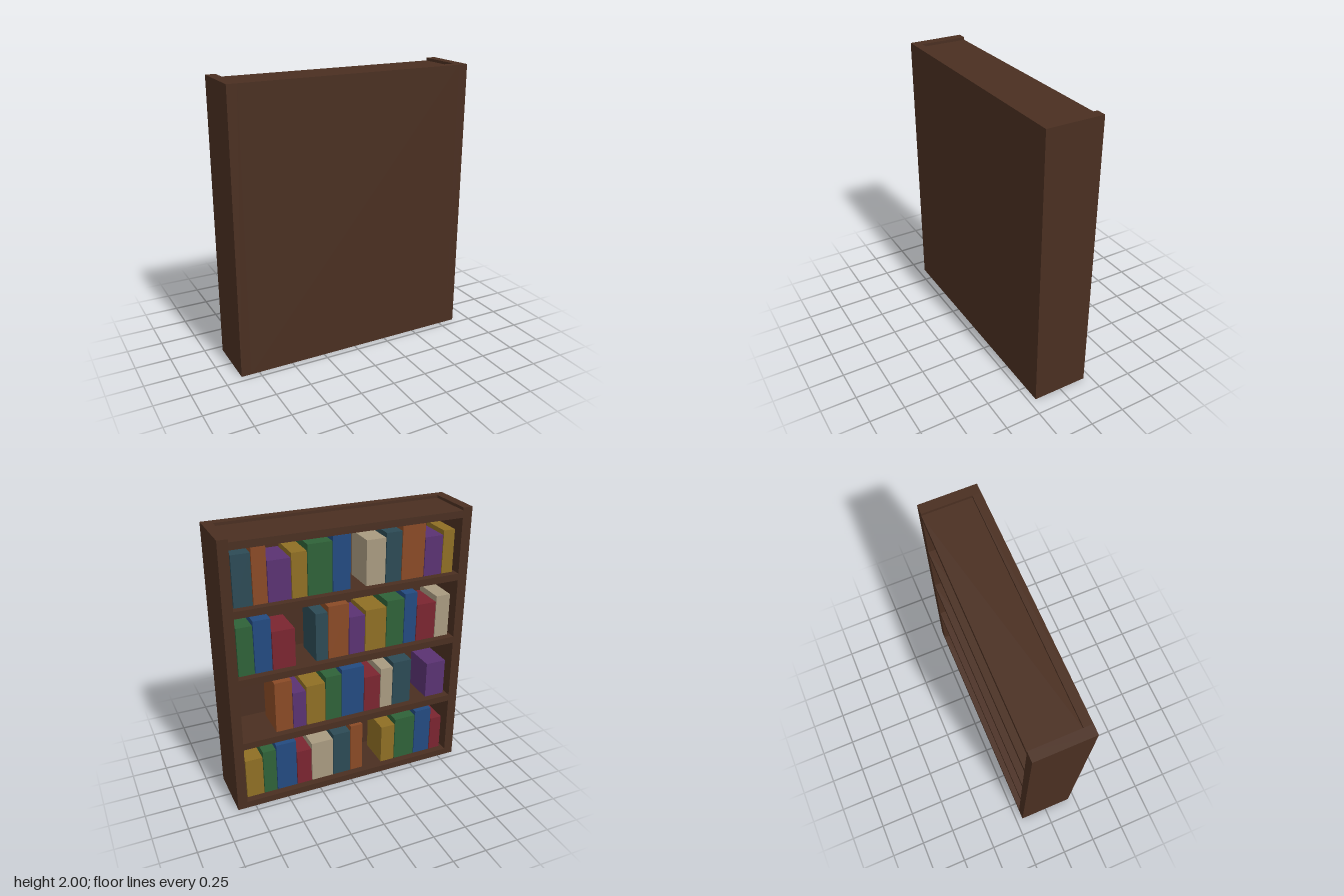
import * as THREE from 'three';

const WIDTH = 1.76, HEIGHT = 2, DEPTH = 0.4;
const SIDE = 0.07, PANEL = 0.06, BOARD = 0.05;
const SHELF_TOPS = [1.53, 1.04, 0.545, 0.05];

// Repeating book types: colour and height
const BOOKS = [
  ['teal', 0x2c4a55, 0.35], ['orange', 0x8a4a26, 0.388],
  ['purple', 0x5a3272, 0.28], ['yellow', 0x8f6f24, 0.31],
  ['green', 0x2f6238, 0.35], ['blue', 0x234a80, 0.38],
  ['red', 0x7a2530, 0.28], ['cream', 0xa89a80, 0.32],
];

// Widths along each shelf, top to bottom; a negative width is a missing book
const ROWS = [
  [0.13, 0.1, 0.16, 0.11, 0.175, 0.13, -0.11, 0.145, 0.12, 0.175, 0.14, 0.09],
  [0.115, 0.124, 0.165, -0.143, 0.092, 0.154, 0.122, 0.163, 0.139, 0.1, 0.154, 0.114],
  [-0.239, 0.13, 0.1, 0.146, 0.124, 0.176, 0.13, 0.1, 0.15, -0.13, 0.16],
  [0.131, 0.1, 0.154, 0.115, 0.17, 0.139, 0.1, -0.155, 0.115, 0.17, 0.139, 0.097],
];
// Book type that begins each row
const ROW_START = [0, 4, 0, 3];

function box(name, material, w, h, d, x, y, z) {
  const mesh = new THREE.Mesh(new THREE.BoxGeometry(w, h, d), material);
  mesh.name = name;
  mesh.position.set(x, y, z);
  return mesh;
}

export function createModel() {
  const model = new THREE.Group();
  model.name = 'bookcase';
  const wood = new THREE.MeshStandardMaterial({ color: 0x4a2f21 });
  const inner = WIDTH - 2 * SIDE;
  const boardDepth = DEPTH - PANEL;

  // Case: two sides and the closed panel at +z
  for (const s of [-1, 1]) {
    model.add(box(s > 0 ? 'leftSide' : 'rightSide', wood,
      SIDE, HEIGHT, DEPTH, s * (WIDTH - SIDE) / 2, HEIGHT / 2, 0));
  }
  model.add(box('panel', wood, inner, HEIGHT, PANEL, 0, HEIGHT / 2, (DEPTH - PANEL) / 2));

  // Slightly sunken top board, shelves and base
  for (const top of [1.98, ...SHELF_TOPS]) {
    const name = top > 1.9 ? 'topBoard' : top < 0.1 ? 'base' : 'shelf';
    model.add(box(name, wood, inner, BOARD, boardDepth, 0, top - BOARD / 2, -PANEL / 2));
  }

  // Books, spines toward the open side at -z
  const materials = BOOKS.map(([, color]) => new THREE.MeshStandardMaterial({ color }));
  const bookDepth = 0.24, spineZ = -0.15, seam = 0.005;
  ROWS.forEach((widths, row) => {
    const shelfBooks = new THREE.Group();
    shelfBooks.name = 'bookRow';
    let x = 0.795;
    widths.forEach((width, i) => {
      const w = Math.abs(width);
      const type = (ROW_START[row] + i) % BOOKS.length;
      const [colorName, , h] = BOOKS[type];
      if (width > 0) {
        shelfBooks.add(box(colorName + 'Book', materials[type], w - seam, h, bookDepth,
          x - w / 2, SHELF_TOPS[row] + h / 2, spineZ + bookDepth / 2));
      }
      x -= w;
    });
    model.add(shelfBooks);
  });

  return model;
}
